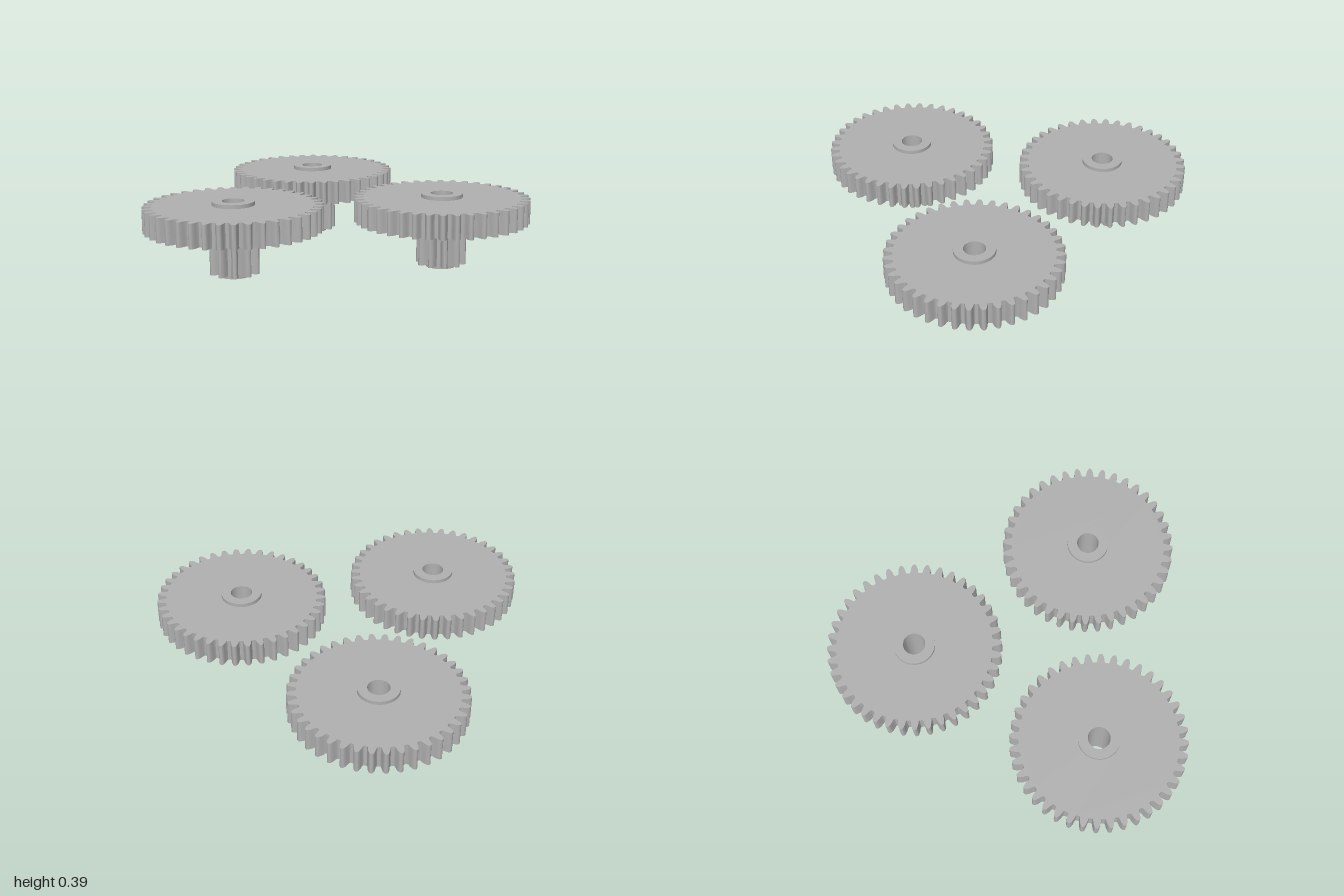
import * as THREE from 'three';
import { toCreasedNormals } from 'three/addons/utils/BufferGeometryUtils.js';

const BORE = 0.058, HUB_TOP = 0.109, HUB_BOTTOM = 0.08;

// Half tooth: [radius, half width as a fraction of the tooth pitch], root to tip
const WHEEL_TOOTH = [[0.411, 0.37], [0.417, 0.31], [0.437, 0.25], [0.45, 0.18], [0.458, 0.11], [0.46, 0.05]];
const PINION_TOOTH = [[0.082, 0.31], [0.09, 0.27], [0.11, 0.24], [0.121, 0.18], [0.129, 0.11], [0.131, 0.05]];

// Toothed disc with a round hole, standing from y0 to y1
function gearGeometry(teeth, tooth, hole, y0, y1) {
  const pitch = Math.PI * 2 / teeth;
  const outline = [];
  const add = (r, a) => outline.push(new THREE.Vector2(r * Math.cos(a), r * Math.sin(a)));
  for (let i = 0; i < teeth; i++) {
    for (const [r, w] of tooth) add(r, (i - w) * pitch);
    for (const [r, w] of [...tooth].reverse()) add(r, (i + w) * pitch);
  }
  const shape = new THREE.Shape(outline);
  shape.holes.push(new THREE.Path().absarc(0, 0, hole, 0, Math.PI * 2, true));
  const geo = new THREE.ExtrudeGeometry(shape, { depth: y1 - y0, bevelEnabled: false, curveSegments: 24 });
  geo.rotateX(-Math.PI / 2);
  geo.translate(0, y0, 0);
  return toCreasedNormals(geo, 0.6);
}

// Stepped sleeve with a through bore: narrow below, wide collar above
function sleeveGeometry() {
  const profile = [
    [BORE, 0.39], [BORE, 0], [HUB_BOTTOM, 0], [HUB_BOTTOM, 0.245],
    [HUB_TOP, 0.245], [HUB_TOP, 0.39], [BORE, 0.39],
  ].map(([r, y]) => new THREE.Vector2(r, y));
  return toCreasedNormals(new THREE.LatheGeometry(profile, 48), 0.6);
}

export function createModel() {
  const model = new THREE.Group();
  model.name = 'compoundGears';
  const grey = new THREE.MeshStandardMaterial({ color: 0xb0b0b0 });
  grey.name = 'grey';

  const wheelGeo = gearGeometry(40, WHEEL_TOOTH, HUB_TOP, 0.245, 0.37);
  const pinionGeo = gearGeometry(10, PINION_TOOTH, HUB_BOTTOM, 0.015, 0.245);
  const sleeveGeo = sleeveGeometry();

  // x, z, wheel turn, pinion turn
  const places = [
    [-0.362, -0.54, Math.PI / 40, Math.PI / 10],
    [0.5, 0.12, 0, 0],
    [-0.503, 0.537, 0, 0],
  ];
  places.forEach(([x, z, wheelTurn, pinionTurn], i) => {
    const gear = new THREE.Group();
    gear.name = `gear${i + 1}`;
    const part = (name, geo, turn) => {
      const mesh = new THREE.Mesh(geo, grey);
      mesh.name = name;
      mesh.rotation.y = turn;
      gear.add(mesh);
    };
    part('wheel', wheelGeo, wheelTurn);
    part('pinion', pinionGeo, pinionTurn);
    part('hubSleeve', sleeveGeo, 0);
    gear.position.set(x, 0, z);
    model.add(gear);
  });
  return model;
}
